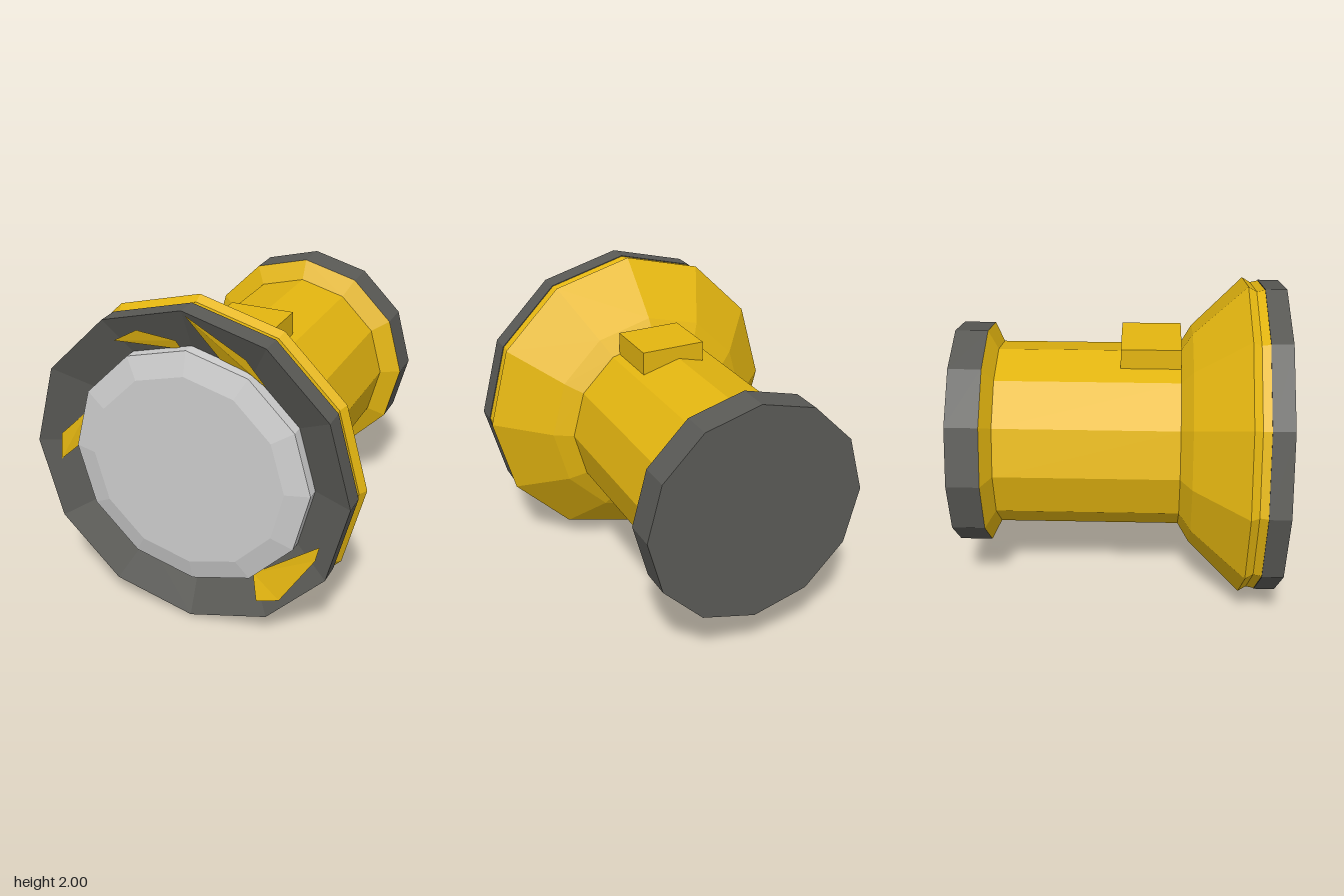
import * as THREE from 'three';

const SIDES = 12;

export function createModel() {
  const yellow = new THREE.MeshStandardMaterial({ color: 0xe3b510 });
  yellow.name = 'yellow casing';
  const dark = new THREE.MeshStandardMaterial({ color: 0x5a5a56 });
  dark.name = 'dark rubber';
  const grey = new THREE.MeshStandardMaterial({ color: 0xcccccc });
  grey.name = 'pale lens';

  const group = new THREE.Group();
  group.name = 'flashlight';

  function add(name, geometry, material) {
    const flat = geometry.index ? geometry.toNonIndexed() : geometry;
    flat.computeVertexNormals();
    const mesh = new THREE.Mesh(flat, material);
    mesh.name = name;
    group.add(mesh);
    return mesh;
  }

  // Faceted part turned around the z axis; profile holds [radius, z] from back to front
  function turned(name, profile, material) {
    const points = profile.map(([r, z]) => new THREE.Vector2(r, z));
    const geometry = new THREE.LatheGeometry(points, SIDES);
    geometry.rotateX(Math.PI / 2);
    geometry.translate(0, 1, 0);
    return add(name, geometry, material);
  }

  // Tail cap
  turned('tailCap', [[0, -1], [0.695, -1], [0.695, -0.8], [0, -0.8]], dark);

  // Handle with its flared end, and the widening head
  turned('handle', [[0.695, -0.8], [0.575, -0.74], [0.575, 0.38]], yellow);
  turned('head', [[0.575, 0.38], [0.69, 0.45], [1, 0.77], [0.97, 0.82], [0.98, 0.87]], yellow);

  // Front ring with a dished inside
  turned('frontRing', [[0.7, 0.87], [0.985, 0.87], [0.985, 1], [0.7, 0.87]], dark);

  // Lens with a shallow bevel
  turned('lens', [[0, 0.84], [0.74, 0.84], [0.74, 0.96], [0.6, 1], [0, 1]], grey);

  // Slide switch on top of the handle
  const button = new THREE.BoxGeometry(0.405, 0.145, 0.365);
  button.translate(0.037, 1.583, 0.198);
  add('switchButton', button, yellow);

  // Bare yellow patches lying on the dished ring, as [x, y] outlines from the axis
  const patches = [
    [[-0.45, 0.72], [-0.06, 0.71], [-0.08, 0.77], [-0.3, 0.81]],
    [[0.02, 0.96], [0.18, 0.68], [0.36, 0.63], [0.45, 0.58], [0.35, 0.74]],
    [[-0.7, 0.2], [-0.85, 0.05], [-0.86, -0.12], [-0.73, 0]],
    [[0.37, -0.64], [0.42, -0.78], [0.57, -0.72], [0.78, -0.4], [0.8, -0.31]],
  ];
  for (const outline of patches) {
    const geometry = new THREE.ShapeGeometry(
      new THREE.Shape(outline.map(([x, y]) => new THREE.Vector2(x, y))));
    const position = geometry.attributes.position;
    for (let i = 0; i < position.count; i++) {
      const radius = Math.hypot(position.getX(i), position.getY(i)) * 1.035;
      const z = 0.875 + (radius - 0.7) * (0.13 / 0.285);
      position.setZ(i, Math.min(z, 0.997));
    }
    geometry.translate(0, 1, 0);
    add('ringPatch', geometry, yellow);
  }

  return group;
}
